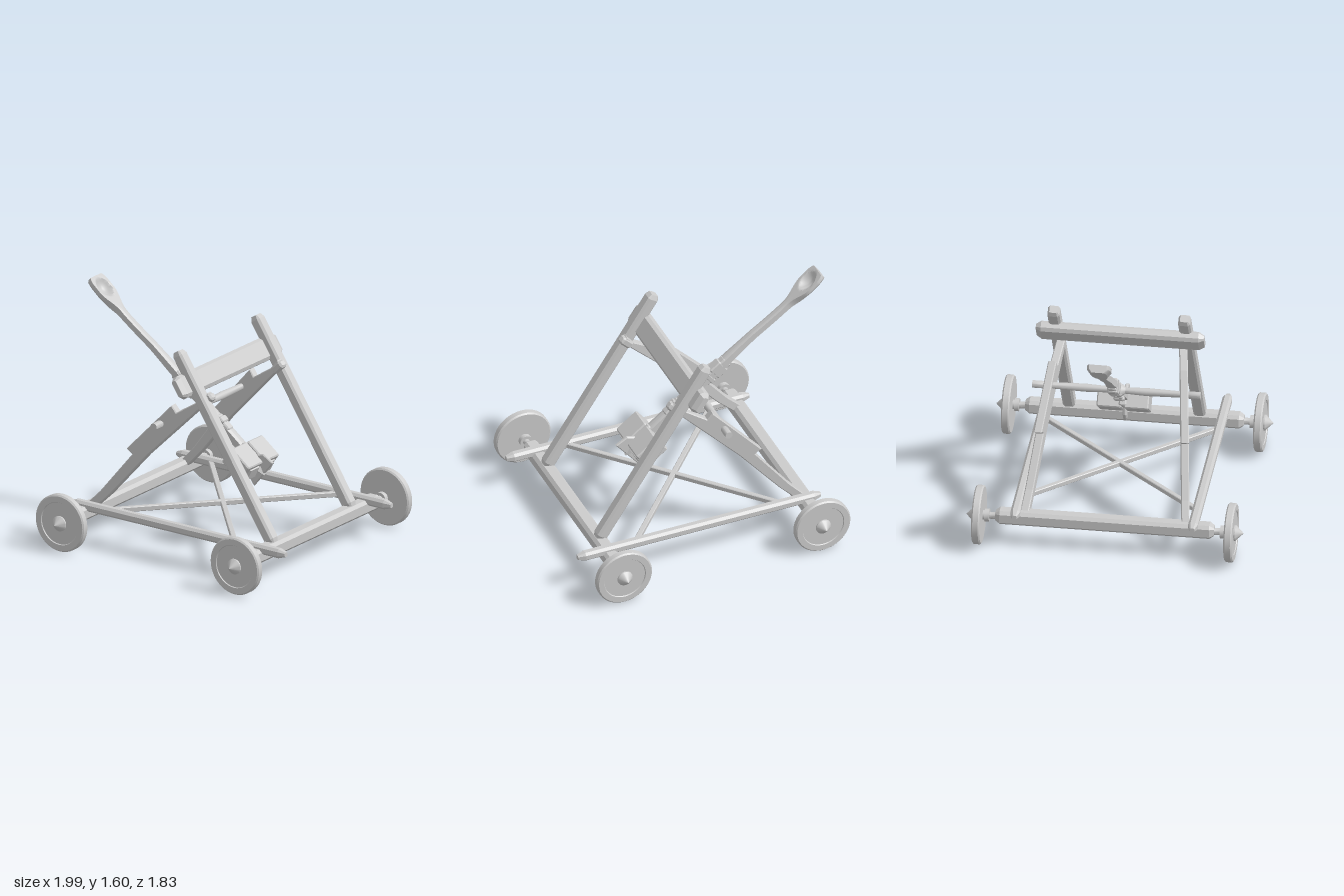
import * as THREE from 'three';
import { toCreasedNormals } from 'three/addons/utils/BufferGeometryUtils.js';

const material = new THREE.MeshStandardMaterial({ color: 0xcccccc });
const V = (x, y, z) => new THREE.Vector3(x, y, z);
const Z = V(0, 0, 1);

function add(parent, name, geometry) {
  const mesh = new THREE.Mesh(geometry, material);
  mesh.name = name;
  parent.add(mesh);
  return mesh;
}

// Chamfered beam from a to b: w is measured along ref, h across it
function beam(parent, name, a, b, w, h, c, ref, endTaper = c) {
  const x = w / 2, y = h / 2;
  const shape = new THREE.Shape([
    [x - c, -y], [x, c - y], [x, y - c], [x - c, y], [c - x, y], [-x, y - c], [-x, c - y], [c - x, -y],
  ].map(p => new THREE.Vector2(...p)));
  const length = a.distanceTo(b);
  const geometry = new THREE.ExtrudeGeometry(shape, {
    depth: length - 2 * endTaper, bevelThickness: endTaper, bevelSize: c, bevelOffset: -c, bevelSegments: 1,
  });
  geometry.translate(0, 0, endTaper - length / 2);
  const dir = b.clone().sub(a).normalize();
  const side = new THREE.Vector3().crossVectors(dir, ref).normalize();
  const up = new THREE.Vector3().crossVectors(side, dir);
  geometry.applyMatrix4(new THREE.Matrix4().makeBasis(up, side, dir));
  const mid = a.clone().lerp(b, 0.5);
  geometry.translate(mid.x, mid.y, mid.z);
  return add(parent, name, geometry);
}

// Lathe turned so that its axis runs along z
function turned(points, segments) {
  const profile = points.map(p => new THREE.Vector2(...p));
  return toCreasedNormals(new THREE.LatheGeometry(profile, segments).rotateX(Math.PI / 2), 0.6);
}

// Flat plate in xy, centred on z = 0
function plate(points, depth) {
  const bevel = 0.006;
  const geometry = new THREE.ExtrudeGeometry(new THREE.Shape(points.map(p => new THREE.Vector2(...p))), {
    depth: depth - 2 * bevel, bevelThickness: bevel, bevelSize: bevel, bevelOffset: -bevel, bevelSegments: 1,
  });
  return geometry.translate(0, 0, bevel - depth / 2);
}

// Throwing arm: a box widened into a spoon with a hollowed bowl
function armGeometry(length) {
  const geometry = new THREE.BoxGeometry(length, 1, 1, 130, 2, 16);
  const pos = geometry.attributes.position;
  const step = THREE.MathUtils.smoothstep;
  for (let i = 0; i < pos.count; i++) {
    const u = THREE.MathUtils.clamp(pos.getX(i) + length / 2, 0, length);
    const side = pos.getZ(i) * 2, top = pos.getY(i) * 2;
    const tip = 0.75 + 0.25 * Math.sqrt(Math.min(1, u / 0.05));
    const half = THREE.MathUtils.lerp(0.077 * tip, 0.026, step(u, 0.12, 0.3)) + 0.006 * step(u, 0.6, 0.9);
    const round = 1 - 0.25 * side * side * step(u, 0.2, 0.35);
    const thick = 0.026 + 0.005 * step(u, 0.5, 0.9);
    const z = side * half * (1 - 0.3 * Math.max(0, -top) * (1 - step(u, 0.15, 0.3)));
    const d = Math.hypot((u - 0.095) / 0.075, z / 0.06);
    const dip = top > 0.5 ? 0.042 * Math.max(0, 1 - d * d) : 0;
    const sag = -0.012 * Math.sin(Math.PI * Math.min(1, u / 0.6));
    pos.setXYZ(i, u, top * thick * round - dip + sag, z);
  }
  return toCreasedNormals(geometry, 0.6);
}

export function createModel() {
  const model = new THREE.Group();
  model.name = 'catapult';

  // Axle beams, spindles and wheels
  const wheel = turned([
    [0, -0.027], [0.186, -0.027], [0.195, -0.018], [0.195, 0.018], [0.186, 0.027], [0.147, 0.027],
    [0.143, 0.021], [0.052, 0.021], [0.052, 0.03], [0, 0.083],
  ], 40);
  const spindle = turned([
    [0.045, -0.05], [0.023, 0], [0.023, 0.045], [0.043, 0.045], [0.043, 0.075], [0.032, 0.075], [0.032, 0.13],
  ], 16);
  for (const [x, end] of [[-0.64, 'rear'], [0.77, 'front']]) {
    beam(model, end + 'AxleBeam', V(x, 0.203, -0.72), V(x, 0.203, 0.72), 0.098, 0.098, 0.02, V(1, 0, 0), 0.03);
    for (const s of [-1, 1]) {
      const hub = new THREE.Group();
      hub.name = end + (s > 0 ? 'FrontSideWheel' : 'BackSideWheel');
      hub.position.set(x, 0.197, 0);
      hub.rotation.y = s > 0 ? 0 : Math.PI;
      add(hub, 'wheel', wheel).position.z = 0.83;
      add(hub, 'spindle', spindle).position.z = 0.715;
      model.add(hub);
    }
  }

  // Side frames, mirrored front to back
  const uprightTop = V(0.008, 1.405, 0), uprightFoot = V(0.775, 0.235, 0);
  const strutProfile = [
    [-0.66, 0.23], [-0.59, 0.22], [-0.47, 0.34], [-0.2, 0.655], [0.17, 1.03], [0.258, 1.122],
    [0.225, 1.155], [0.17, 1.09], [0.01, 0.985], [-0.025, 1.03], [-0.352, 0.677], [-0.31, 0.645], [-0.54, 0.355],
  ];
  for (const s of [-1, 1]) {
    beam(model, 'sideRail', V(-0.735, 0.248, s * 0.585), V(0.992, 0.248, s * 0.585), 0.063, 0.063, 0.016, Z, 0.05);
    const offset = V(0, 0, s * 0.43);
    beam(model, 'leaningUpright', uprightFoot.clone().add(offset), uprightTop.clone().add(offset),
      0.08, 0.08, 0.014, Z, 0.03);
    // Strut slants inward toward its top
    const strut = plate(strutProfile, 0.055);
    const pos = strut.attributes.position;
    for (let i = 0; i < pos.count; i++) {
      const t = (pos.getX(i) + 0.64) / 0.89;
      pos.setZ(i, pos.getZ(i) + s * THREE.MathUtils.lerp(0.53, 0.39, t));
    }
    strut.computeVertexNormals();
    add(model, 'rearStrut', strut);
    // Peg locking the strut to the upright
    beam(model, 'strutPeg', V(0.19, 1.07, s * 0.395), V(0.258, 1.14, s * 0.388), 0.06, 0.055, 0.012, Z);
    // Floor diagonals
    beam(model, 'floorBrace', V(-0.46, 0.245, -s * 0.575), V(0.57, 0.245, s * 0.575), 0.034, 0.034, 0.004, V(0, 1, 0));
  }

  // Stop bar across the uprights
  beam(model, 'stopBar', V(0.09, 1.193, -0.553), V(0.09, 1.193, 0.553), 0.155, 0.078, 0.02,
    V(0.56, -0.83, 0), 0.035);

  // Pivot rod
  add(model, 'pivotRod', turned([
    [0, -0.553], [0.025, -0.553], [0.025, -0.48], [0.02, -0.47], [0.027, -0.2], [0.021, -0.06], [0.045, -0.03],
    [0.045, 0.03], [0.021, 0.06], [0.027, 0.2], [0.02, 0.47], [0.025, 0.48], [0.025, 0.553], [0, 0.553],
  ], 16)).position.set(-0.1, 0.892, 0);

  // Throwing arm, local x runs from the spoon down to the counterweight
  const arm = new THREE.Group();
  arm.name = 'throwingArm';
  arm.position.set(-0.985, 1.578, 0);
  arm.rotation.z = Math.atan2(-1, 1.305);
  model.add(arm);
  add(arm, 'spoonArm', armGeometry(1.62));

  // Bindings: centre, length, height, width
  for (const [u, l, h, w] of [
    [0.94, 0.2, 0.075, 0.058], [0.92, 0.09, 0.1, 0.066], [1.0, 0.04, 0.09, 0.07],
    [1.31, 0.13, 0.085, 0.06], [1.29, 0.05, 0.105, 0.07], [1.12, 0.07, 0.085, 0.075],
  ]) beam(arm, 'armBinding', V(u - l / 2, -0.005, 0), V(u + l / 2, -0.005, 0), w, h, 0.008, Z);

  // Counterweight: paired blocks with wedges, a core, tail fin and spike
  for (const s of [-1, 1]) {
    beam(arm, 'counterweightBlock', V(1.51, -0.01, s * 0.09), V(1.69, -0.01, s * 0.09), 0.162, 0.138, 0.008, Z);
    add(arm, 'counterweightWedge', plate([[1.67, -0.07], [1.715, -0.05], [1.7, 0.03], [1.67, 0.03]], 0.1))
      .position.z = s * 0.085;
  }
  beam(arm, 'counterweightCore', V(1.5, -0.01, 0), V(1.68, -0.01, 0), 0.05, 0.11, 0.008, Z);
  add(arm, 'tailFin', plate([[1.6, -0.03], [1.655, -0.11], [1.737, -0.135], [1.745, 0.108], [1.655, 0.096], [1.6, 0.02]], 0.024));
  const spike = new THREE.CylinderGeometry(0.012, 0.045, 0.07, 4).toNonIndexed();
  spike.computeVertexNormals();
  const tip = add(arm, 'tailSpike', spike);
  tip.rotation.z = -Math.PI / 2;
  tip.position.set(1.715, -0.01, 0);

  return model;
}
